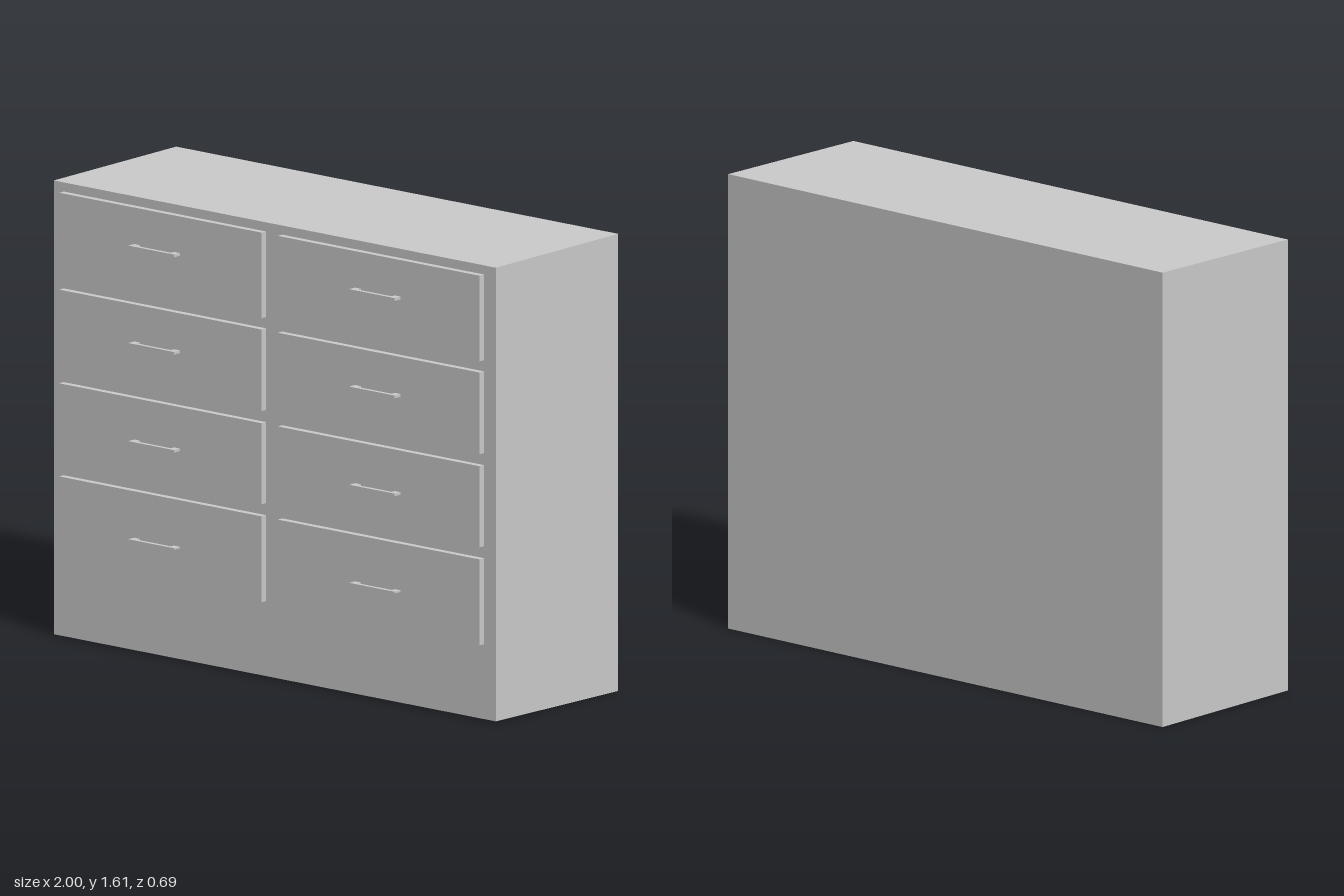
import * as THREE from 'three';

const BODY_FRONT = 0.292, BACK = -0.347, DRAWER_FRONT = 0.316, HANDLE_FRONT = 0.347;
const HEIGHT = 1.605;

export function createModel() {
  const material = new THREE.MeshStandardMaterial({ color: 0xcccccc, flatShading: true });
  const model = new THREE.Group();
  model.name = 'chestOfDrawers';

  function add(parent, name, geometry, x, y, z) {
    const mesh = new THREE.Mesh(geometry, material);
    mesh.name = name;
    mesh.position.set(x, y, z);
    parent.add(mesh);
    return mesh;
  }

  // Cabinet: a box whose height tapers very slightly towards the front
  const depth = BODY_FRONT - BACK;
  const body = new THREE.BoxGeometry(2, HEIGHT, depth);
  const pos = body.attributes.position;
  for (let i = 0; i < pos.count; i++) {
    if (pos.getZ(i) > 0) pos.setY(i, pos.getY(i) - Math.sign(pos.getY(i)) * 0.006);
  }
  body.computeVertexNormals();
  add(model, 'cabinet', body, 0, HEIGHT / 2, (BODY_FRONT + BACK) / 2);

  // Handle: a flat U-shaped pull, drawn in plan and extruded upwards
  function handleGeometry(width, thickness) {
    const w = width / 2, post = 0.026, reach = HANDLE_FRONT - DRAWER_FRONT, gap = 0.016;
    const plan = new THREE.Shape([
      [-w, 0], [-w + post, 0], [-w + post, -gap], [w - post, -gap],
      [w - post, 0], [w, 0], [w, -reach], [-w, -reach],
    ].map(([x, y]) => new THREE.Vector2(x, y)));
    const geometry = new THREE.ExtrudeGeometry(plan, { depth: thickness, bevelEnabled: false });
    geometry.rotateX(-Math.PI / 2);
    geometry.translate(0, -thickness / 2, 0);
    return geometry;
  }

  // Drawer rows (bottom, top, handle height) in two columns
  const rows = [
    [1.266, 1.567, 1.434, 0.01],
    [0.94, 1.227, 1.092, 0.01],
    [0.613, 0.898, 0.748, 0.009],
    [0.269, 0.571, 0.405, 0.006],
  ];
  const columns = [
    { side: 'right', x0: -0.955, x1: -0.04, handleX: -0.512 },
    { side: 'left', x0: 0.034, x1: 0.947, handleX: 0.487 },
  ];
  for (const { side, x0, x1, handleX } of columns) {
    rows.forEach(([y0, y1, handleY, thickness], i) => {
      const drawer = new THREE.Group();
      drawer.name = `${side}Drawer${i + 1}`;
      const front = new THREE.BoxGeometry(x1 - x0, y1 - y0, DRAWER_FRONT - BODY_FRONT);
      add(drawer, 'drawerFront', front, (x0 + x1) / 2, (y0 + y1) / 2, (BODY_FRONT + DRAWER_FRONT) / 2);
      add(drawer, 'handle', handleGeometry(0.206, thickness), handleX, handleY, DRAWER_FRONT);
      model.add(drawer);
    });
  }
  return model;
}
